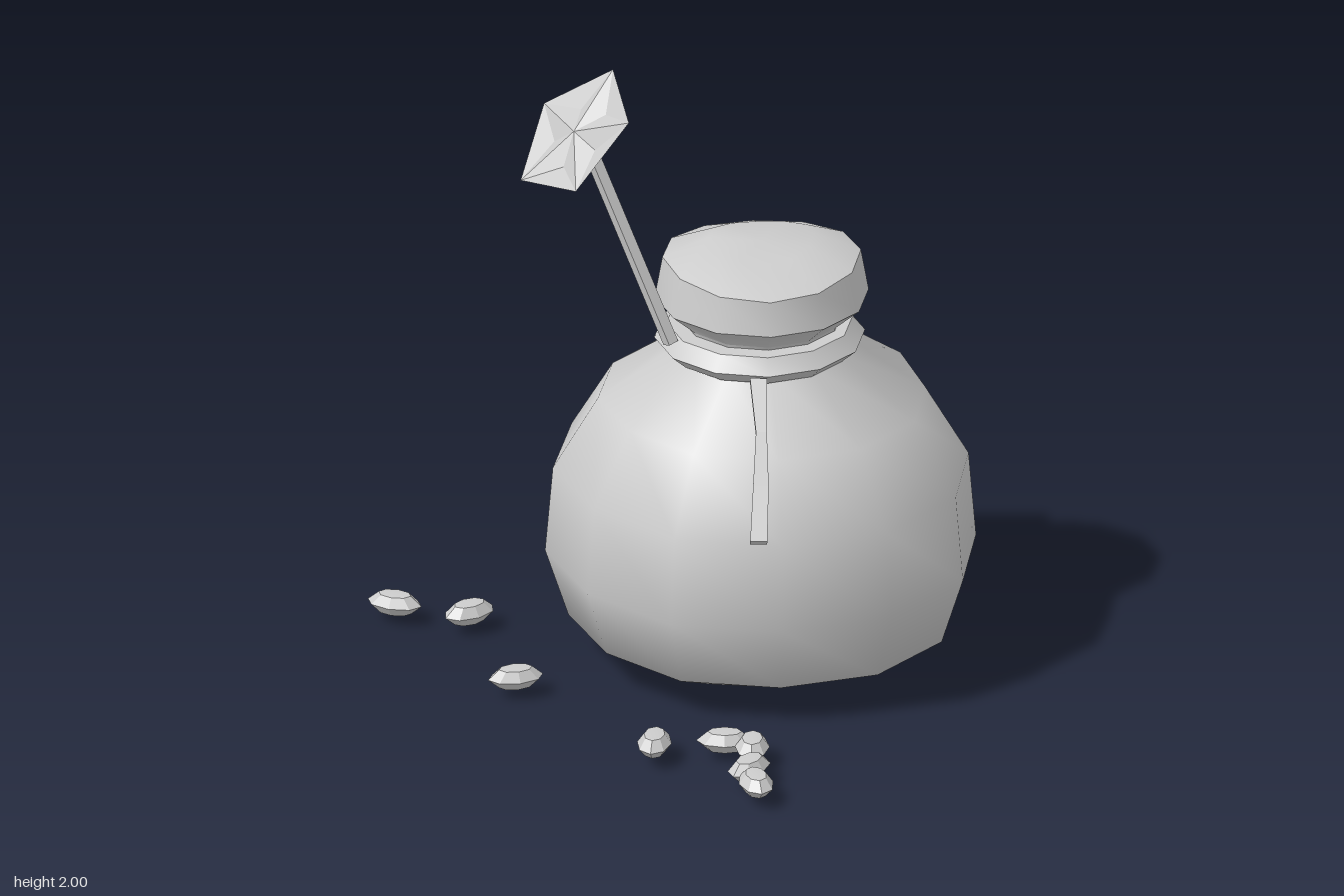
import * as THREE from 'three';
import { toCreasedNormals } from 'three/addons/utils/BufferGeometryUtils.js';

const V = (x, y, z) => new THREE.Vector3(x, y, z);
const clay = new THREE.MeshStandardMaterial({ color: 0xcccccc });
clay.name = 'lightGrey';

// Twelve-sided turned part; rule(vertex, sideIndex) may push vertices around.
function turned(profile, crease, rule) {
  const geo = new THREE.LatheGeometry(profile.map(p => new THREE.Vector2(...p)), 12);
  const pos = geo.attributes.position;
  const v = V(0, 0, 0);
  for (let i = 0; rule && i < pos.count; i++) {
    v.fromBufferAttribute(pos, i);
    rule(v, Math.floor(i / profile.length) % 12);
    pos.setXYZ(i, v.x, v.y, v.z);
  }
  return toCreasedNormals(geo, crease);
}

// Square bar swept along points, with a width for every point.
function bar(points, widths, depth, side) {
  const n = points.length - 1;
  const geo = new THREE.BoxGeometry(1, 1, 1, 1, n, 1).toNonIndexed();
  const dir = points[n].clone().sub(points[0]).normalize();
  const u = side.clone().addScaledVector(dir, -side.dot(dir)).normalize();
  const w = u.clone().cross(dir);
  const pos = geo.attributes.position;
  for (let i = 0; i < pos.count; i++) {
    const k = Math.round((pos.getY(i) + 0.5) * n);
    const p = points[k].clone()
      .addScaledVector(u, pos.getX(i) * widths[k])
      .addScaledVector(w, pos.getZ(i) * depth);
    pos.setXYZ(i, p.x, p.y, p.z);
  }
  geo.computeVertexNormals();
  return geo;
}

// Faceted star face inside a pentagon, closed by a pyramid behind.
function starHead() {
  const tips = [V(-0.40, 2.0, 0.23), V(-0.14, 1.94, 0.35), V(-0.18, 1.73, 0.53),
    V(-0.46, 1.67, 0.55), V(-0.60, 1.84, 0.36)];
  const mid = tips.reduce((s, t) => s.add(t), V(0, 0, 0)).divideScalar(5);
  const normal = V(0, 0.7, 0.7);
  const centre = mid.clone().addScaledVector(normal, 0.015);
  const apex = V(-0.34, 1.75, 0.345);
  const tris = [];
  tips.forEach((a, i) => {
    const b = tips[(i + 1) % 5];
    const notch = a.clone().add(b).multiplyScalar(0.5).lerp(mid, 0.42).addScaledVector(normal, -0.02);
    tris.push(centre, notch, a, centre, b, notch, notch, b, a, apex, a, b);
  });
  const geo = new THREE.BufferGeometry().setFromPoints(tris);
  geo.computeVertexNormals();
  return geo;
}

export function createModel() {
  const model = new THREE.Group();
  model.name = 'tiedSack';
  const add = (name, geo, x = 0, y = 0, z = 0) => {
    const mesh = new THREE.Mesh(geo, clay);
    mesh.name = name;
    mesh.position.set(x, y, z);
    model.add(mesh);
    return mesh;
  };

  // Full, slightly uneven sack
  const bulge = [0.98, 1, 0.99, 1.01, 1, 0.97, 1, 1, 0.94, 1.01, 1, 1];
  add('sackBody', turned([[0, 0.01], [0.39, 0.015], [0.63, 0.13], [0.705, 0.36], [0.68, 0.65],
    [0.535, 0.89], [0.27, 1.075], [0.25, 1.12]], 0.95, (v, i) => {
    v.x *= bulge[i];
    v.z *= bulge[i];
    if (v.y < 0.02) v.y += 0.01 * Math.sin(i * Math.PI / 6);
  }), -0.07, 0, -0.13);

  // Cord ring around the neck
  add('neckCord', turned([[0.25, 1.06], [0.29, 1.06], [0.34, 1.105], [0.30, 1.155], [0.24, 1.155]], 0.5),
    -0.065, 0, -0.11);

  // Gathered top with a wavy rim and a soft dome
  add('sackTop', turned([[0.25, 1.1], [0.26, 1.165], [0.345, 1.24], [0.32, 1.365], [0.17, 1.43], [0, 1.425]], 0.7,
    (v, i) => {
      if (v.y > 1.3 && Math.hypot(v.x, v.z) > 0.05) v.y += 0.015 * Math.cos((i - 5) * Math.PI / 3);
    }), -0.075, 0, -0.125);

  // Loose cord end hanging over the shoulder
  add('cordEnd', bar([V(0.2, 1.09, 0.08), V(0.33, 0.97, 0.16), V(0.42, 0.83, 0.225), V(0.515, 0.69, 0.3)],
    [0.055, 0.035, 0.05, 0.055], 0.03, V(-0.55, 0, 0.83)));

  // Star on a stick
  add('starStick', bar([V(-0.105, 1.14, 0.21), V(-0.34, 1.78, 0.365)], [0.04, 0.04], 0.035, V(1, 0, 0)));
  add('starHead', starHead());

  // Scattered beans: x, z, turn about y
  const bean = toCreasedNormals(new THREE.LatheGeometry([[0, -1], [0.6, -0.9], [1, 0], [0.6, 0.9], [0, 1]]
    .map(p => new THREE.Vector2(...p)), 8), 0.4);
  [[-0.90, 0.735, 0.6], [-0.705, 0.58, 1.57], [-0.21, 0.745, 1.25], [0.46, 0.67, -0.75], [0.575, 0.475, 0.95],
    [0.665, 0.43, -0.65], [0.79, 0.53, -1.2], [0.9, 0.58, -0.4]].forEach(([x, z, turn], i) => {
    const mesh = add('bean' + (i + 1), bean, x, 0.062, z);
    mesh.scale.set(0.092, 0.035, 0.056);
    mesh.rotation.y = turn;
  });
  return model;
}
